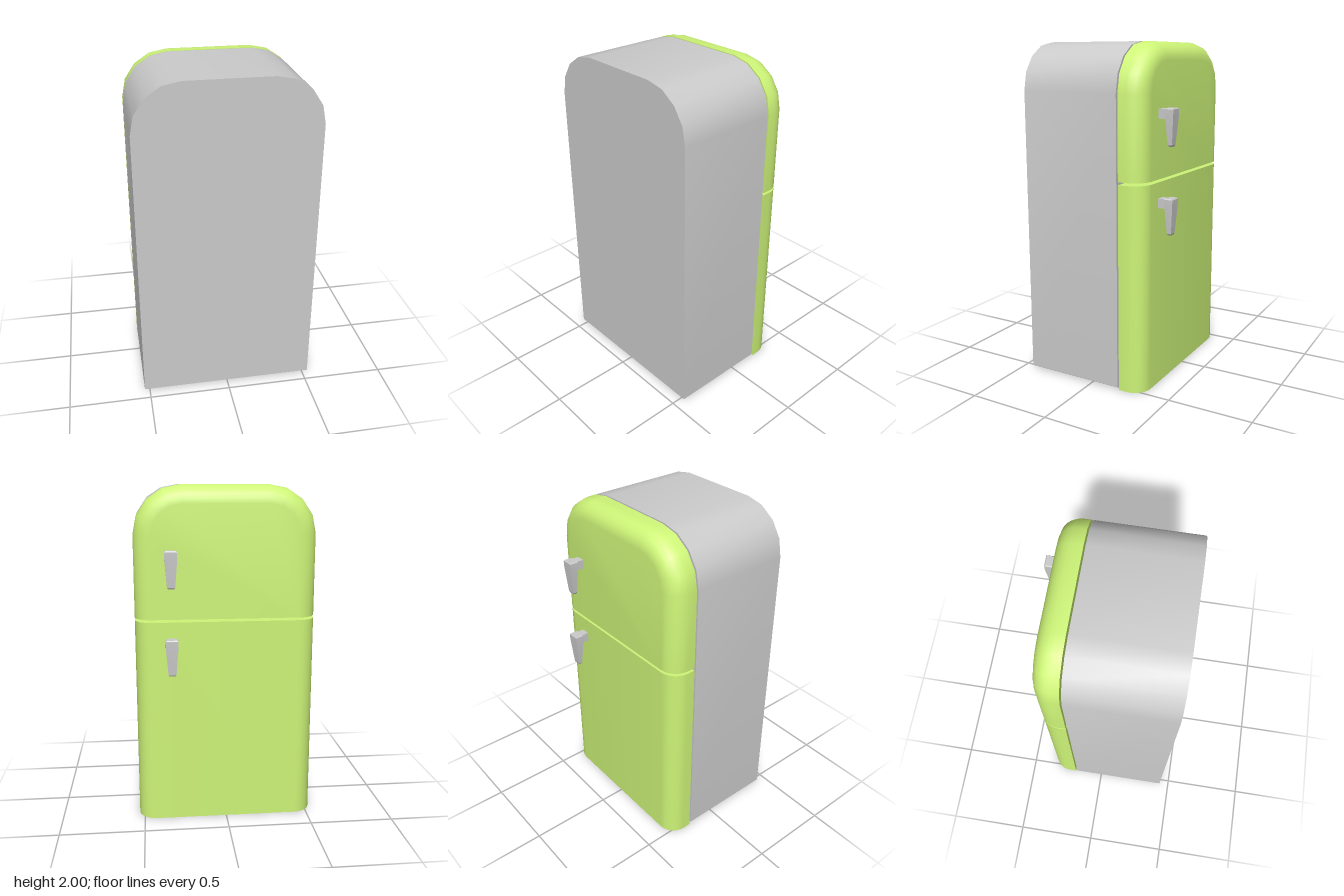
import * as THREE from 'three';
import { toCreasedNormals } from 'three/addons/utils/BufferGeometryUtils.js';

const W = 0.532, TOP = 2, CORNER = 0.28, EDGE = 0.105;
const SEAM_Z = -0.19, DOOR_Z = -0.345;
const grey = new THREE.MeshStandardMaterial({ color: 0xcccccc });
const green = new THREE.MeshStandardMaterial({ color: 0xcef578 });

// Closed skin over convex rings, with flat end caps
function loft(rings, crease) {
  const pos = [], idx = [], n = rings[0].length, last = (rings.length - 1) * n;
  rings.forEach(r => r.forEach(p => pos.push(...p)));
  for (let k = 0; k < last; k += n) {
    for (let i = 0; i < n; i++) {
      const j = (i + 1) % n;
      idx.push(k + i, k + n + i, k + n + j, k + i, k + n + j, k + j);
    }
  }
  for (let i = 1; i < n - 1; i++) idx.push(0, i, i + 1, last, last + i + 1, last + i);
  const g = new THREE.BufferGeometry();
  g.setAttribute('position', new THREE.Float32BufferAttribute(pos, 3));
  g.setIndex(idx);
  return toCreasedNormals(g.toNonIndexed(), crease);
}

// Outline with a flat base and two rounded upper corners, counter-clockwise
function arch(y0, inset, z) {
  const w = W - inset, r = CORNER - inset, cx = w - r, cy = TOP - CORNER;
  const pts = [[-w, y0, z], [w, y0, z]];
  for (let i = 0; i <= 4; i++) {
    const a = i * Math.PI / 8;
    pts.push([cx + r * Math.cos(a), cy + r * Math.sin(a), z]);
  }
  for (let i = 4; i >= 0; i--) {
    const a = i * Math.PI / 8;
    pts.push([-cx - r * Math.cos(a), cy + r * Math.sin(a), z]);
  }
  return pts;
}

function slab(y0, y1, inset, z) {
  const w = W - inset;
  return [[-w, y0, z], [w, y0, z], [w, y1, z], [-w, y1, z]];
}

// Door rings: straight rim, then a quarter-round edge
function doorRings(outline) {
  const rings = [outline(0, SEAM_Z)];
  for (let i = 0; i <= 6; i++) {
    const a = i * Math.PI / 12;
    rings.push(outline(EDGE * (1 - Math.cos(a)), DOOR_Z + EDGE * (1 - Math.sin(a))));
  }
  return rings;
}

function add(parent, name, geometry, material) {
  const m = new THREE.Mesh(geometry, material);
  m.name = name;
  parent.add(m);
  return m;
}

// Mounting stem and tapered lever, measured down from the top of the lever
function makeHandle(name, top) {
  const g = new THREE.Group();
  g.name = name;
  g.position.set(0.321, top, 0);
  const stem = add(g, 'handleStem', new THREE.BoxGeometry(0.055, 0.055, 0.06), grey);
  stem.position.set(0, -0.033, -0.367);
  const sections = [ // y, half width, half depth
    [0, 0.031, 0.021], [-0.006, 0.036, 0.026], [-0.045, 0.036, 0.025],
    [-0.205, 0.023, 0.013], [-0.213, 0.018, 0.009],
  ];
  const rings = sections.map(([y, x, d]) => {
    const z = -0.413;
    return [[x, y, z + d], [x, y, z - d], [-x, y, z - d], [-x, y, z + d]];
  });
  add(g, 'handleLever', loft(rings, 0.3), grey);
  return g;
}

export function createModel() {
  const model = new THREE.Group();
  model.name = 'refrigerator';
  add(model, 'cabinet', loft([arch(0.015, 0, 0.437), arch(0.015, 0, -0.18)], 0.6), grey);
  add(model, 'upperDoor', loft(doorRings((d, z) => arch(1.238, d, z)), 0.6), green);
  add(model, 'lowerDoor', loft(doorRings((d, z) => slab(0, 1.222, d, z)), 0.6), green);
  model.add(makeHandle('upperHandle', 1.64), makeHandle('lowerHandle', 1.135));
  return model;
}
